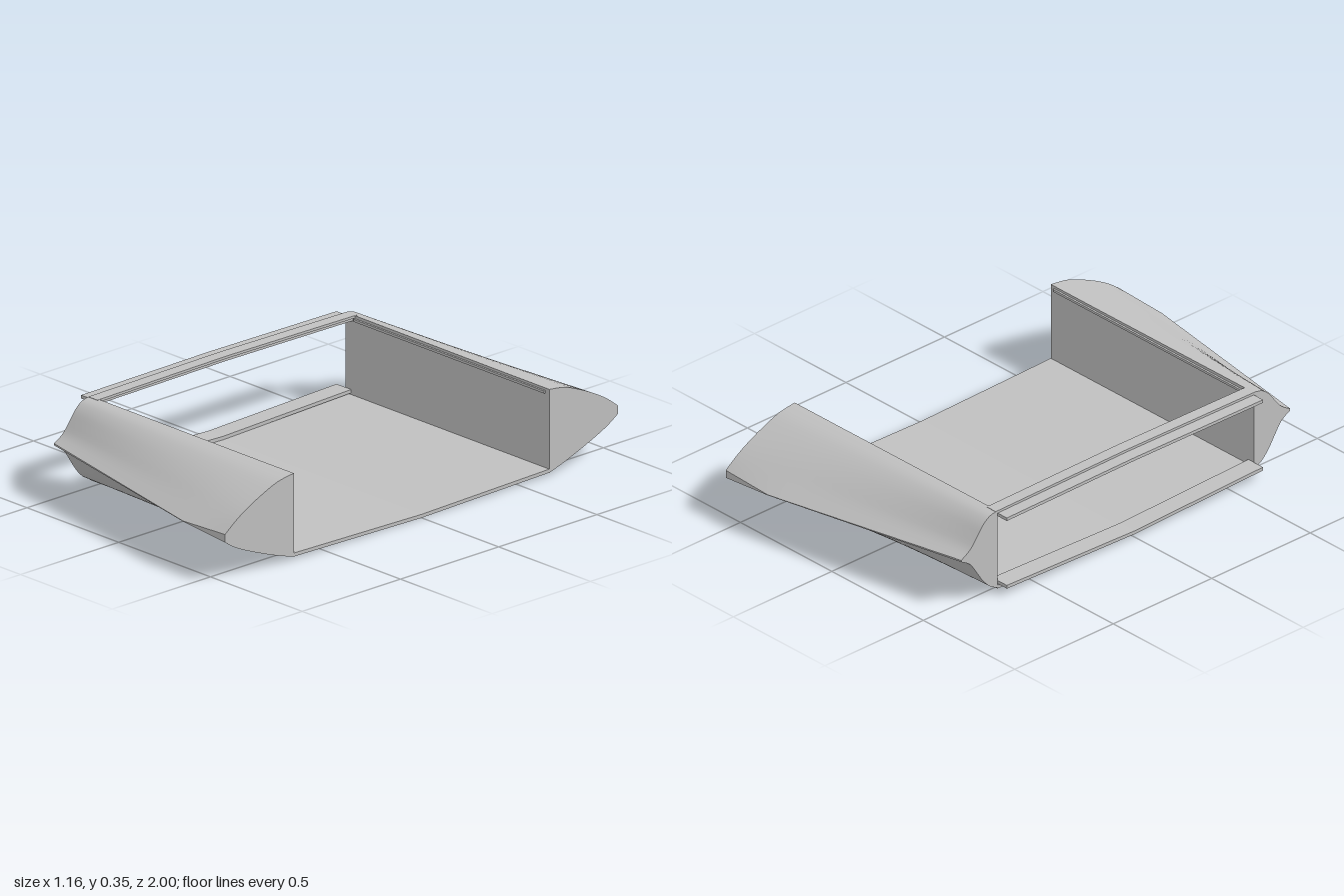
import * as THREE from 'three';
import { toCreasedNormals } from 'three/addons/utils/BufferGeometryUtils.js';

const grey = new THREE.MeshStandardMaterial({ color: 0xc0c0c0 });
grey.name = 'plain grey';

// Pod cross-sections: [z, y] from inner edge to tip, above and below
const stations = [
  { x: -0.53,
    top: [[0.65, 0.346], [0.69, 0.339], [0.725, 0.313], [0.755, 0.275], [0.79, 0.233], [0.835, 0.205]],
    low: [[0.65, 0.016], [0.69, 0.038], [0.725, 0.075], [0.755, 0.12], [0.79, 0.17], [0.835, 0.198]] },
  { x: 0.35,
    top: [[0.65, 0.344], [0.72, 0.334], [0.79, 0.307], [0.86, 0.27], [0.925, 0.229], [1, 0.181]],
    low: [[0.65, 0.012], [0.72, 0.036], [0.79, 0.066], [0.86, 0.1], [0.925, 0.138], [1, 0.179]] },
  { x: 0.58,
    top: [[0.65, 0.344], [0.73, 0.332], [0.81, 0.302], [0.89, 0.264], [0.95, 0.228], [1, 0.19]],
    low: [[0.65, 0.012], [0.73, 0.037], [0.81, 0.066], [0.89, 0.098], [0.95, 0.126], [1, 0.158]] },
];

// Smooth closed section of one station: over the top, round the tip, back below, up the inner wall
function section({ top, low }) {
  const smooth = (pts) => new THREE.SplineCurve(pts.map(([z, y]) => new THREE.Vector2(z, y))).getPoints(15);
  const loop = [...smooth(top), ...smooth(low).reverse()];
  return [...loop, loop[0].clone()];
}

function podSkin(side) {
  const rows = [];
  const addRow = (x, pts) => rows.push(pts.map((p) => [x, p.y, side * p.x]));
  const sections = stations.map(section);
  const steps = [12, 4];
  steps.forEach((n, k) => {
    for (let i = k ? 1 : 0; i <= n; i++) {
      const t = i / n;
      addRow(THREE.MathUtils.lerp(stations[k].x, stations[k + 1].x, t),
        sections[k].map((p, j) => p.clone().lerp(sections[k + 1][j], t)));
    }
  });
  const width = rows[0].length;
  const index = [];
  for (let i = 0; i < rows.length - 1; i++) {
    for (let j = 0; j < width - 1; j++) {
      const a = i * width + j, b = a + 1, c = a + width, d = c + 1;
      if (side > 0) index.push(a, b, c, b, d, c);
      else index.push(a, c, b, b, c, d);
    }
  }
  const geometry = new THREE.BufferGeometry();
  geometry.setAttribute('position', new THREE.Float32BufferAttribute(rows.flat(2), 3));
  geometry.setIndex(index);
  return toCreasedNormals(geometry, 0.5);
}

// Flat end of a pod, facing along x
function podEnd(station, side, facing) {
  const pts = section(station).slice(0, -1).map((p) => new THREE.Vector2(-facing * side * p.x, p.y));
  const geometry = new THREE.ShapeGeometry(new THREE.Shape(pts));
  return geometry.rotateY(facing * Math.PI / 2).translate(station.x, 0, 0);
}

// Slightly bent plate across the body: y of underside at edge and centre
function bentPlate(x0, x1, half, edgeY, midY, thick) {
  const shape = new THREE.Shape([
    [-half, edgeY], [0, midY], [half, edgeY],
    [half, edgeY + thick], [0, midY + thick], [-half, edgeY + thick],
  ].map(([z, y]) => new THREE.Vector2(z, y)));
  return new THREE.ExtrudeGeometry(shape, { depth: x1 - x0, bevelEnabled: false })
    .rotateY(Math.PI / 2).translate(x0, 0, 0);
}

export function createModel() {
  const model = new THREE.Group();
  model.name = 'openBodySection';
  const add = (name, geometry, parent = model) => {
    const mesh = new THREE.Mesh(geometry, grey);
    mesh.name = name;
    parent.add(mesh);
    return mesh;
  };

  // Tapered side pods with the rails on their inner walls
  for (const side of [1, -1]) {
    const pod = new THREE.Group();
    pod.name = side > 0 ? 'leftPod' : 'rightPod';
    model.add(pod);
    add('podSkin', podSkin(side), pod);
    add('podNarrowEnd', podEnd(stations[0], side, -1), pod);
    add('podWideEnd', podEnd(stations[2], side, 1), pod);
    add('wallRail', new THREE.BoxGeometry(1.04, 0.01, 0.008), pod).position.set(0.04, 0.329, side * 0.646);
  }

  // Floor and the lip along its narrow end
  add('floor', bentPlate(-0.53, 0.58, 0.651, 0.013, 0, 0.014));
  add('lowerLip', bentPlate(-0.58, -0.5, 0.65, 0.033, 0.014, 0.014));

  // Bridge across the top and its joining lip
  add('topBridge', bentPlate(-0.53, -0.48, 0.66, 0.336, 0.343, 0.01));
  add('upperLip', bentPlate(-0.58, -0.49, 0.65, 0.323, 0.329, 0.013));
  return model;
}
